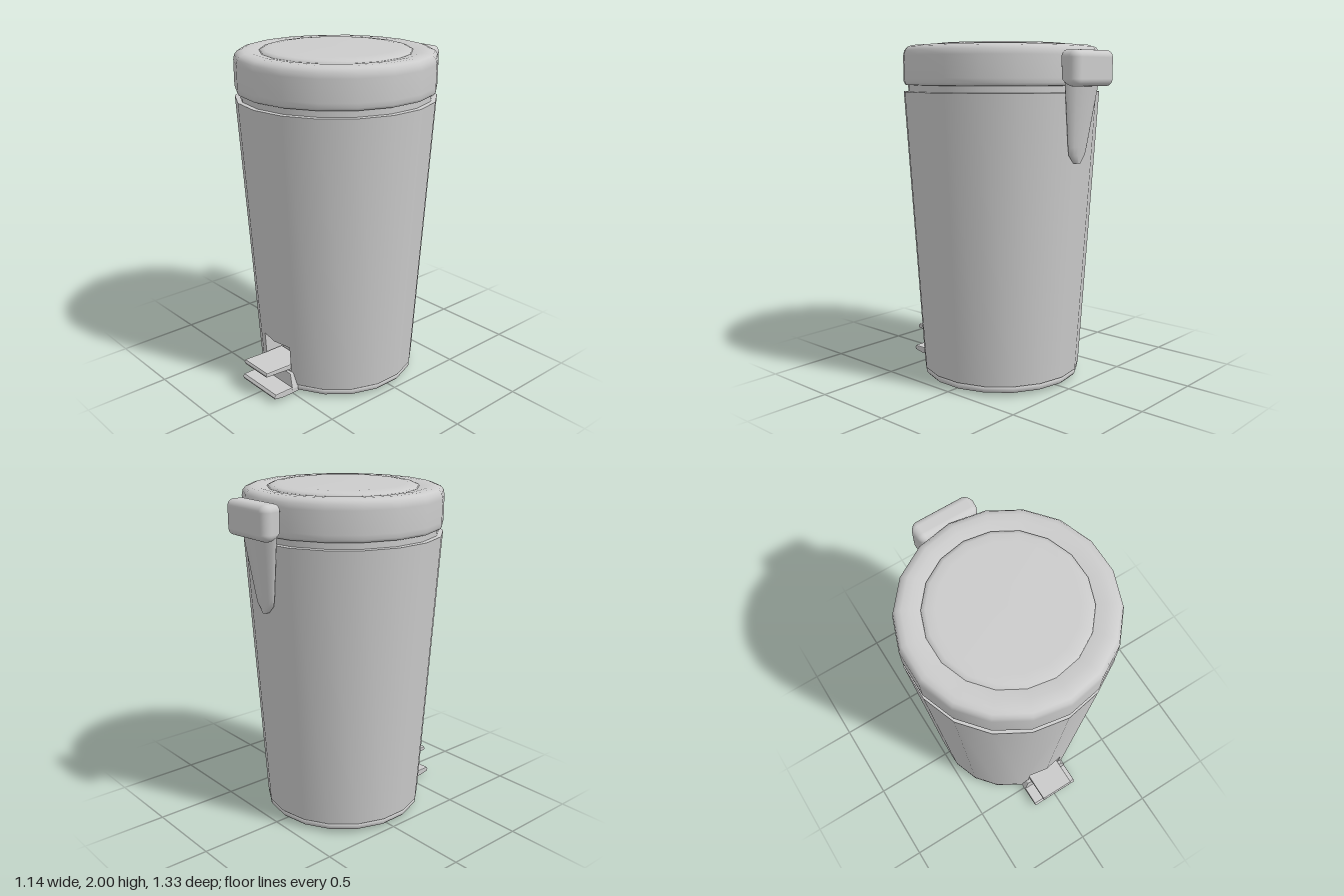
import * as THREE from 'three';
import { RoundedBoxGeometry } from 'three/addons/geometries/RoundedBoxGeometry.js';

const SIDES = 18, STEP = (Math.PI * 2) / SIDES, CENTER_Z = 0.03;
const Y0 = 0.06, Y1 = 1.72;
const radiusAt = (y) => 0.478 + ((y - Y0) / (Y1 - Y0)) * 0.102;
const slope = Math.tan(STEP / 2);
// z of the two front facets of the bucket wall
const frontZ = (x, y) => CENTER_Z + radiusAt(y) - Math.abs(x) * slope;

const grey = new THREE.MeshStandardMaterial({ color: 0xcccccc });
const greyDouble = new THREE.MeshStandardMaterial({ color: 0xcccccc, side: THREE.DoubleSide });

function part(group, name, geometry, material = grey) {
  const mesh = new THREE.Mesh(geometry, material);
  mesh.name = name;
  group.add(mesh);
  return mesh;
}

// Lathe about the bucket axis
function turned(profile, start = 0, steps = SIDES) {
  const points = profile.map(([r, y]) => new THREE.Vector2(r, y));
  return new THREE.LatheGeometry(points, steps, start, steps * STEP).translate(0, 0, CENTER_Z);
}

// Side profile given as [z, y], extruded across x
function across(profile, width, bevel = 0.006) {
  const shape = new THREE.Shape(profile.map(([z, y]) => new THREE.Vector2(z, y)));
  const depth = width - 2 * bevel;
  return new THREE.ExtrudeGeometry(shape, {
    depth, bevelThickness: bevel, bevelSize: bevel, bevelOffset: -bevel, bevelSegments: 2,
  }).rotateY(-Math.PI / 2).translate(depth / 2, 0, 0);
}

// Move every vertex by a rule
function reshape(geometry, rule) {
  const pos = geometry.attributes.position, v = new THREE.Vector3();
  for (let i = 0; i < pos.count; i++) {
    v.fromBufferAttribute(pos, i);
    rule(v);
    pos.setXYZ(i, v.x, v.y, v.z);
  }
  geometry.computeVertexNormals();
  return geometry;
}

// One front facet of the wall, notched for the pedal opening
function frontFacet(side) {
  const w0 = radiusAt(Y0) * Math.sin(STEP), w1 = radiusAt(Y1) * Math.sin(STEP);
  const outline = [[0, Y0], [w0, Y0], [w1, Y1], [0, Y1], [0, 0.3], [0.12, 0.3], [0.12, 0.14], [0, 0.14]];
  const geometry = new THREE.ShapeGeometry(
    new THREE.Shape(outline.map(([x, y]) => new THREE.Vector2(x, y))));
  reshape(geometry, (v) => { v.z = frontZ(v.x, v.y); v.x *= side; });
  if (side < 0) geometry.index.array.reverse();
  // Round normals so the facets blend with the rest of the wall
  const pos = geometry.attributes.position, n = new THREE.Vector3();
  for (let i = 0; i < pos.count; i++) {
    n.set(pos.getX(i), 0, pos.getZ(i) - CENTER_Z).normalize().setY(-0.06).normalize();
    geometry.attributes.normal.setXYZ(i, n.x, n.y, n.z);
  }
  return geometry;
}

export function createModel() {
  const model = new THREE.Group();
  model.name = 'pedalBin';

  // Bucket wall
  const bucket = new THREE.Group();
  bucket.name = 'bucket';
  model.add(bucket);
  part(bucket, 'wall', turned([[radiusAt(Y0), Y0], [radiusAt(Y1), Y1]], STEP, SIDES - 2), greyDouble);
  part(bucket, 'frontWallLeft', frontFacet(1), greyDouble);
  part(bucket, 'frontWallRight', frontFacet(-1), greyDouble);
  part(bucket, 'topLedge', turned([[radiusAt(Y1), Y1], [0.553, Y1 + 0.002]]), greyDouble);
  part(bucket, 'neck', turned([[0.553, Y1], [0.553, 1.765]]), greyDouble);

  // Base ring and underside
  part(model, 'base', turned([[0, 0.016], [0.44, 0.016], [0.465, 0.02], [0.475, 0.032],
    [0.475, 0.05], [0.465, 0.062], [0.44, 0.064]]), greyDouble);

  // Shallow star on the underside
  const star = new THREE.Shape();
  for (let i = 0; i < 16; i++) {
    const r = i % 2 ? 0.03 : i % 4 ? 0.1 : 0.16;
    star[i ? 'lineTo' : 'moveTo'](r * Math.sin(i * Math.PI / 8), r * Math.cos(i * Math.PI / 8));
  }
  part(model, 'undersideStar', new THREE.ExtrudeGeometry(star, { depth: 0.016, bevelEnabled: false })
    .rotateX(Math.PI / 2).translate(0, 0.017, CENTER_Z));

  // Lid with a raised centre panel
  part(model, 'lid', turned([[0, 1.758], [0.55, 1.758], [0.571, 1.76], [0.579, 1.775], [0.58, 1.8],
    [0.58, 1.925], [0.574, 1.955], [0.558, 1.975], [0.53, 1.984], [0.49, 1.985], [0.44, 1.978],
    [0.42, 1.972]]), greyDouble);
  part(model, 'lidPanel', turned([[0.435, 1.97], [0.432, 1.984], [0.41, 1.992], [0.36, 1.998], [0, 2]]),
    greyDouble);

  // Pedal opening: box turned inside out, its mouth following the wall
  const recess = reshape(new THREE.BoxGeometry(0.24, 0.16, 0.1, 2, 1, 1).translate(0, 0.22, 0.42), (v) => {
    if (v.z > 0.42) v.z = frontZ(v.x, v.y);
  });
  // The mouth (fifth face) stays open
  const mouth = recess.groups[4];
  const kept = Array.from(recess.index.array)
    .filter((_, i) => i < mouth.start || i >= mouth.start + mouth.count).reverse();
  recess.setIndex(kept);
  recess.clearGroups();
  recess.computeVertexNormals();
  part(model, 'pedalRecess', recess, greyDouble);

  // Apron below the opening, narrowing upward
  part(model, 'apron', reshape(across([[0.42, 0.04], [0.52, 0.04], [0.512, 0.135], [0.42, 0.135]], 0.33),
    (v) => { v.x *= 1 - (v.y - 0.04) * 2; }));

  // Pedal and foot plate
  part(model, 'pedal', across([[0.39, 0.145], [0.5, 0.145], [0.665, 0.158], [0.67, 0.17],
    [0.662, 0.184], [0.5, 0.178], [0.39, 0.178]], 0.22));
  part(model, 'footPlate', across([[0.4, 0.016], [0.58, 0.014], [0.645, 0.026], [0.652, 0.04],
    [0.64, 0.055], [0.52, 0.055], [0.4, 0.06]], 0.32));

  // Hinge at the back: rounded cap and tapering tail
  const hinge = new THREE.Group();
  hinge.name = 'hinge';
  model.add(hinge);
  const cap = new RoundedBoxGeometry(0.38, 0.195, 0.14, 4, 0.04);
  const capNormals = cap.attributes.normal.clone();
  reshape(cap, (v) => {
    const out = -v.z / 0.07;
    v.x *= 1 - 0.09 * Math.abs(out - 0.1);
    v.z += out > 0 ? 0.02 * (v.x / 0.19) ** 2 : 0;
    if (v.y < -0.05 && out < 0) v.z -= 0.035 * Math.min(1, (-0.05 - v.y) / 0.045);
  });
  cap.setAttribute('normal', capNormals);
  part(hinge, 'hingeCap', cap.translate(0, 1.853, -0.602));

  const tail = reshape(new THREE.CylinderGeometry(1, 1, 1, 16, 10), (v) => {
    const t = 0.5 - v.y;
    const tip = t > 0.85 ? Math.sqrt(Math.max(0.08, 1 - ((t - 0.85) / 0.15) ** 2)) : 1;
    v.y = 1.79 - t * 0.46;
    v.x *= (0.145 - 0.08 * t) * tip;
    v.z = CENTER_Z - radiusAt(v.y) + v.z * (0.068 - 0.04 * t) * (v.z < 0 ? 1 : 0.4);
  });
  part(hinge, 'hingeTail', tail);

  return model;
}
